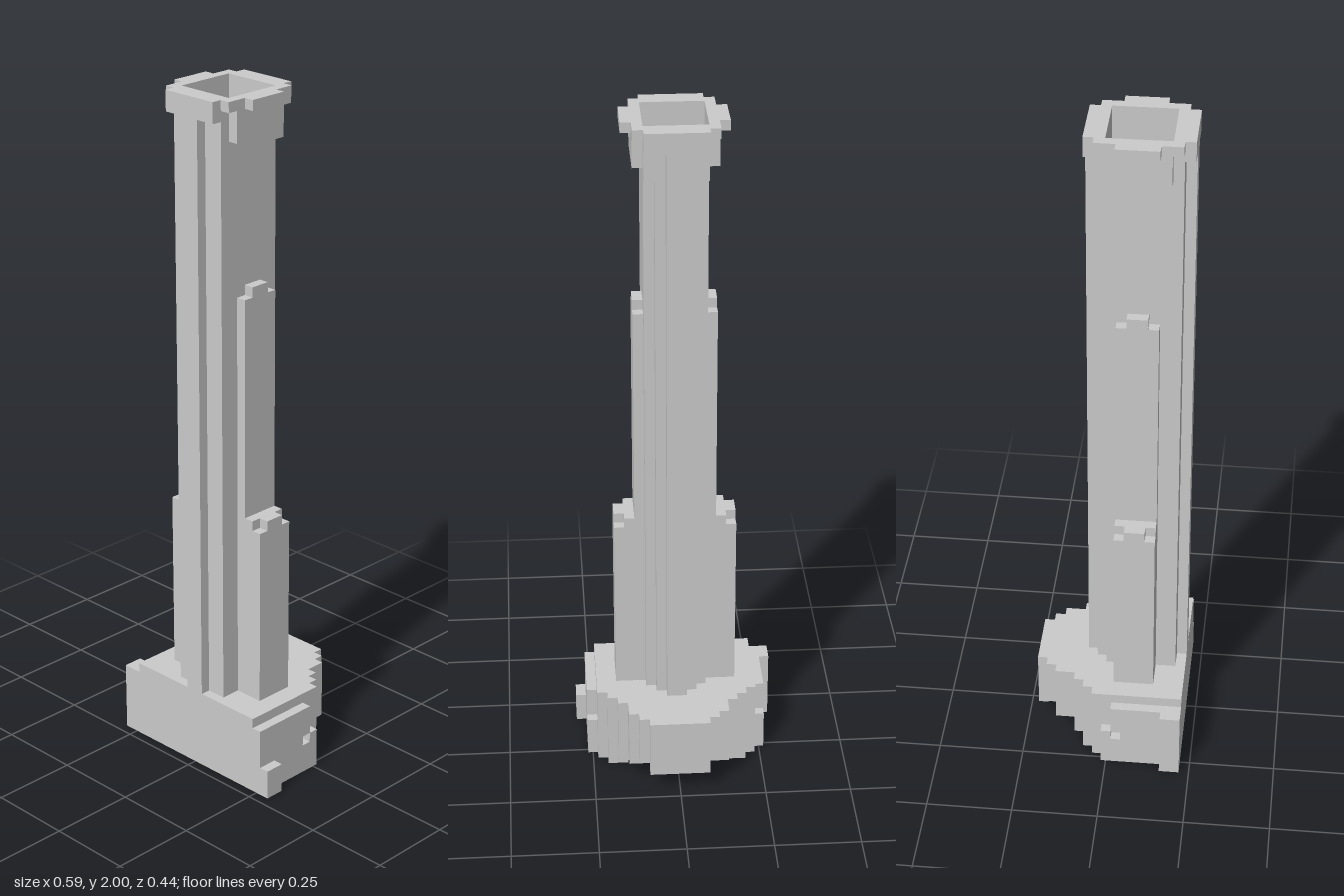
import * as THREE from 'three';

const U = 2 / 68; // one block; the model is 68 blocks tall and 15 deep
const material = new THREE.MeshStandardMaterial({ color: 0xcccccc, flatShading: true });

// Box between block coordinates (z is counted from the back)
function block(parent, name, x0, x1, y0, y1, z0, z1) {
  const mesh = new THREE.Mesh(
    new THREE.BoxGeometry((x1 - x0) * U, (y1 - y0) * U, (z1 - z0) * U), material);
  mesh.position.set((x0 + x1) / 2 * U, (y0 + y1) / 2 * U, ((z0 + z1) / 2 - 7.5) * U);
  mesh.name = name;
  parent.add(mesh);
}

// Block centred on x = 0
const centred = (parent, name, half, ...rest) => block(parent, name, -half, half, ...rest);

// The same block on both sides
function pair(parent, name, x0, x1, ...rest) {
  block(parent, name + 'Left', x0, x1, ...rest);
  block(parent, name + 'Right', -x1, -x0, ...rest);
}

function makeBase() {
  const base = new THREE.Group();
  base.name = 'base';
  // Rows narrowing to the back: back z, front z, half width, underside
  const rows = [
    [0, 1, 3, 2], [1, 2, 4, 3], [2, 4, 5, 2], [4, 5, 6, 1], [11, 15, 8, 0],
  ];
  for (const [z0, z1, half, y0] of rows) centred(base, 'baseRow', half, y0, 8, z0, z1);

  // Rows with a stepped hollow underneath
  for (const [z0, z1, half, y0] of [[5, 6, 7, 2], [6, 8, 8, 2], [8, 11, 8, 1]]) {
    centred(base, 'hollowRow', 5, y0, 8, z0, z1);
    pair(base, 'hollowWall', 5, half, 0, 8, z0, z1);
  }

  // Side shelves, each with a small pit and a low step behind
  pair(base, 'shelf', 8, 9, 0, 7, 9, 15);
  pair(base, 'shelfBelowPit', 8, 9, 0, 3, 8, 9);
  pair(base, 'shelfAbovePit', 8, 9, 4, 7, 8, 9);
  pair(base, 'shelfStep', 8, 9, 0, 4, 7, 8);

  // Front corner tabs of unequal height
  block(base, 'lowTab', 9, 10, 0, 3, 13, 15);
  block(base, 'tallTab', -10, -9, 0, 7, 13, 15);
  return base;
}

function makeShaft() {
  const shaft = new THREE.Group();
  shaft.name = 'shaft';
  centred(shaft, 'core', 3, 8, 64, 7, 13);
  centred(shaft, 'frontWall', 3, 8, 68, 13, 14);
  centred(shaft, 'frontRib', 1, 8, 66, 14, 15);
  // Ribs stepping out at the back
  centred(shaft, 'backRibWide', 2, 8, 66, 6, 7);
  centred(shaft, 'backRibNarrow', 1, 8, 66, 5, 6);
  pair(shaft, 'backCorbel', 2, 3, 63, 66, 6, 7);

  // Tall and short side buttresses with raised middles
  pair(shaft, 'tallButtress', 3, 4, 8, 49, 8, 12);
  pair(shaft, 'tallButtressCap', 3, 4, 49, 50, 9, 11);
  pair(shaft, 'shortButtress', 4, 6, 8, 26, 8, 12);
  pair(shaft, 'shortButtressInner', 4, 5, 26, 27, 8, 12);
  pair(shaft, 'shortButtressCap', 5, 6, 26, 27, 9, 11);
  return shaft;
}

function makeCollar() {
  const collar = new THREE.Group();
  collar.name = 'collar';
  // Walls around the open top
  pair(collar, 'sideWall', 3, 4, 64, 68, 7, 13);
  centred(collar, 'frontLip', 3, 66, 68, 14, 15);
  centred(collar, 'backLip', 3, 66, 68, 5, 7);
  // Thin rim stepping outwards
  pair(collar, 'rimFront', 3, 4, 67, 68, 13, 14);
  pair(collar, 'rimBack', 3, 4, 67, 68, 6, 7);
  pair(collar, 'rimSide', 4, 5, 67, 68, 8, 12);
  return collar;
}

export function createModel() {
  const model = new THREE.Group();
  model.name = 'tower';
  model.add(makeBase(), makeShaft(), makeCollar());
  return model;
}
